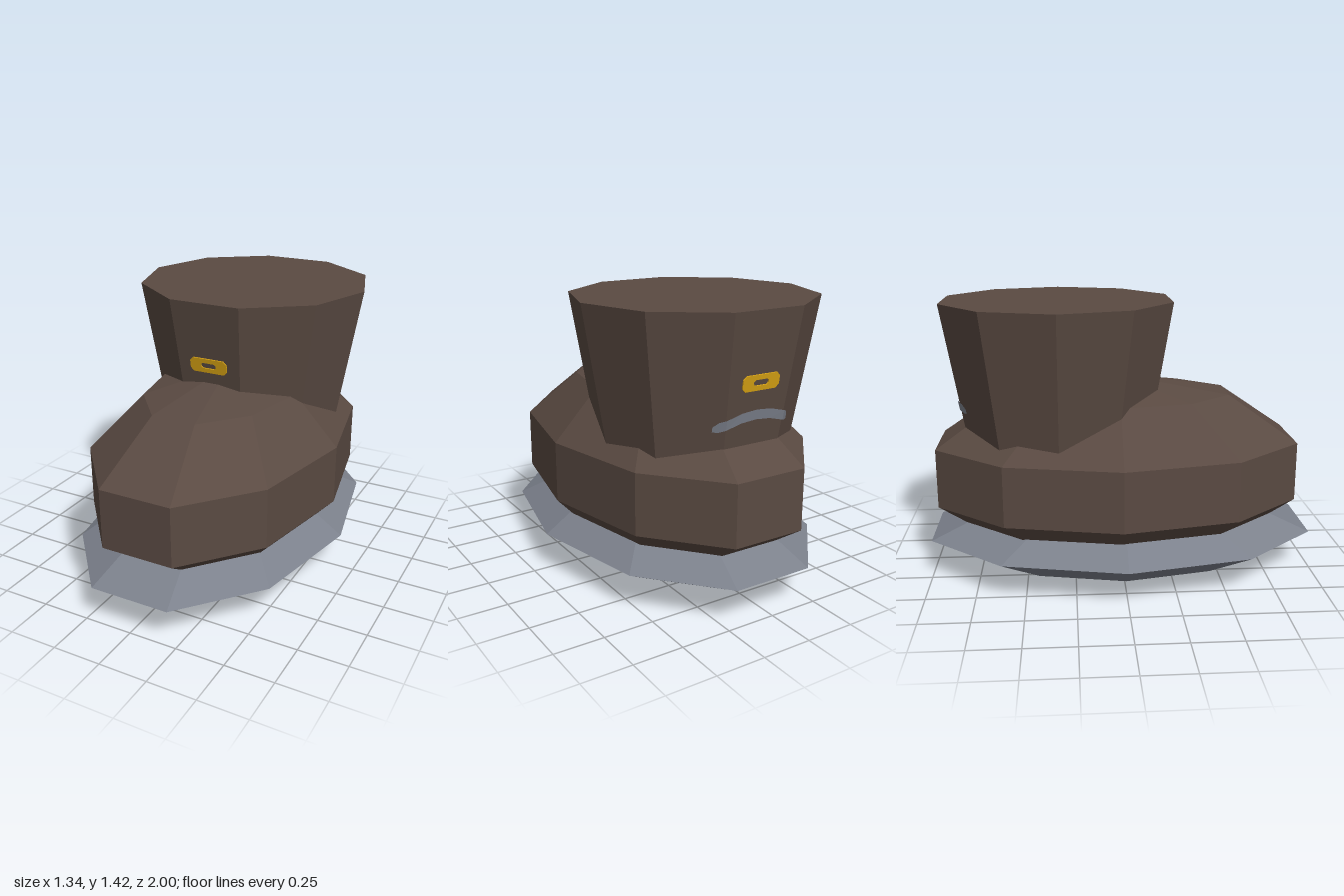
import * as THREE from 'three';

const paint = (color) => new THREE.MeshStandardMaterial({ color });

// Faceted mesh: every face gets its own normal
function faceted(name, geometry, material) {
  const g = geometry.index ? geometry.toNonIndexed() : geometry;
  g.computeVertexNormals();
  const mesh = new THREE.Mesh(g, material);
  mesh.name = name;
  return mesh;
}

// Squashed low-poly ball with corners on the x axis
const ball = (rows, rx, ry, rz) => new THREE.SphereGeometry(1, 10, rows).scale(rx, ry, rz);

// Shaft taper and the depth of its faceted wall, seen from the shaft axis
const TOP = 1.42, BASE = 0.52, SLOPE = 0.171, AXIS_Z = -0.325;
const shaftRadius = (y) => 0.61 - SLOPE * (TOP - y);
function wallZ(x, y) {
  const r = shaftRadius(y);
  return r * 0.951 - Math.max(0, Math.abs(x) - r * 0.309) * 0.727;
}

// Thin buckle with clipped corners and a slot
function buckleGeometry() {
  const clipped = (Type, w, h, c) => new Type([
    [-w, -h + c], [-w + c, -h], [w - c, -h], [w, -h + c],
    [w, h - c], [w - c, h], [-w + c, h], [-w, h - c],
  ].map(([x, y]) => new THREE.Vector2(x, y)));
  const plate = clipped(THREE.Shape, 0.102, 0.038, 0.018);
  plate.holes.push(clipped(THREE.Path, 0.042, 0.014, 0.01));
  return new THREE.ExtrudeGeometry(plate, { depth: 0.006, bevelEnabled: false });
}

// Arched strip laid on the shaft wall
function archGeometry() {
  const xs = [-0.212, -0.19, -0.162, -0.08, 0, 0.08, 0.162, 0.19, 0.212];
  const edge = (x, side) => {
    const half = Math.abs(x) > 0.2 ? 0.012 : 0.024;
    const y = 0.935 - 0.05 * (x / 0.212) ** 2 + side * half;
    return [x, y, wallZ(x, y) + 0.007];
  };
  const points = [];
  for (let i = 0; i < xs.length - 1; i++) {
    const a = edge(xs[i], -1), b = edge(xs[i + 1], -1);
    const c = edge(xs[i + 1], 1), d = edge(xs[i], 1);
    points.push(...a, ...b, ...c, ...a, ...c, ...d);
  }
  const g = new THREE.BufferGeometry();
  g.setAttribute('position', new THREE.Float32BufferAttribute(points, 3));
  return g;
}

export function createModel() {
  const leather = paint(0x5a4a42);
  const steel = paint(0x7c818c);
  const gold = paint(0xdaa514);

  const boot = new THREE.Group();
  boot.name = 'boot';

  // Sole and foot
  const sole = faceted('sole', ball(4, 0.672, 0.187, 1.0515), steel);
  sole.position.y = 0.19;
  const foot = faceted('foot', ball(5, 0.647, 0.5, 1.036), leather);
  foot.position.set(0, 0.525, -0.02);
  boot.add(sole, foot);

  // Flared shaft, turned so that a flat side faces front and back
  const shaftShape = new THREE.CylinderGeometry(shaftRadius(TOP), shaftRadius(BASE), TOP - BASE, 10);
  shaftShape.rotateY(Math.PI / 10);
  const shaft = faceted('shaft', shaftShape, leather);
  shaft.position.set(0, (TOP + BASE) / 2, AXIS_Z);
  boot.add(shaft);

  // A buckle on the front and back, and an arched strip on the back
  for (const side of ['front', 'back']) {
    const trim = new THREE.Group();
    trim.name = side + 'Trim';
    trim.position.z = AXIS_Z;
    if (side === 'back') trim.rotation.y = Math.PI;
    const buckle = faceted(side + 'Buckle', buckleGeometry(), gold);
    buckle.position.set(0, 1.09, wallZ(0, 1.09) + 0.002);
    buckle.rotation.x = Math.atan(SLOPE * 0.951);
    trim.add(buckle);
    if (side === 'back') trim.add(faceted('heelStrip', archGeometry(), steel));
    boot.add(trim);
  }
  return boot;
}
